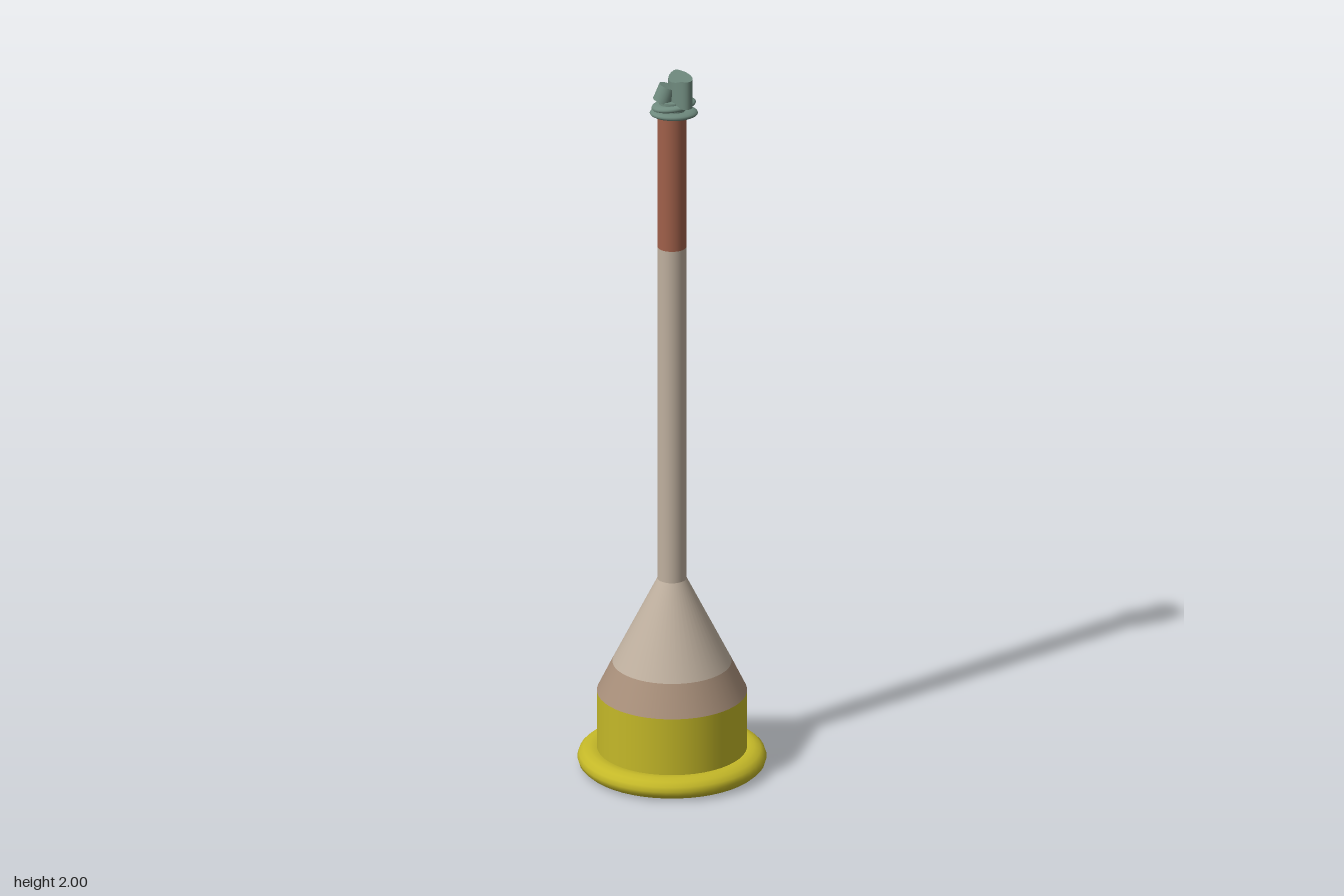
import * as THREE from 'three';

const SIDES = 48;
const paint = (color) => new THREE.MeshStandardMaterial({ color });
const YELLOW = paint(0xc4b828);
const TAN = paint(0xa88f7a);
const BEIGE = paint(0xbfb09f);
const RUST = paint(0xa0604a);
const TEAL = paint(0x6f8a7e);

function add(group, name, geometry, material) {
  const mesh = new THREE.Mesh(geometry, material);
  mesh.name = name;
  group.add(mesh);
  return mesh;
}

// Round section between two heights
function section(group, name, y0, y1, r0, r1, material, open = true) {
  const geometry = new THREE.CylinderGeometry(r1, r0, y1 - y0, SIDES, 1, open);
  geometry.translate(0, (y0 + y1) / 2, 0);
  return add(group, name, geometry, material);
}

// Oval ring lying flat, with separate outer x, outer z and tube sizes
function ovalRing(rx, rz, tube, halfHeight) {
  const geometry = new THREE.TorusGeometry(1 - tube / rx, tube / rx, 14, SIDES);
  geometry.rotateX(Math.PI / 2);
  geometry.scale(rx, halfHeight * rx / tube, rz);
  return geometry;
}

export function createModel() {
  const model = new THREE.Group();
  model.name = 'funnelStaff';

  // Base: rolled rim around a closed drum
  add(model, 'baseRim', ovalRing(0.252, 0.252, 0.041, 0.03), YELLOW).position.y = 0.03;
  section(model, 'baseDrum', 0.03, 0.22, 0.2, 0.2, YELLOW, false);

  // Two-tone cone and long shaft
  section(model, 'coneBand', 0.22, 0.305, 0.2, 0.159, TAN);
  section(model, 'cone', 0.305, 0.545, 0.159, 0.039, BEIGE);
  section(model, 'shaft', 0.545, 1.505, 0.039, 0.039, BEIGE);
  section(model, 'grip', 1.505, 1.89, 0.039, 0.039, RUST, false);

  // Tip: core wrapped by two tilted oval coils
  const tip = new THREE.Group();
  tip.name = 'tip';
  model.add(tip);
  section(tip, 'tipCore', 1.885, 1.93, 0.036, 0.034, TEAL, false);
  const lower = add(tip, 'lowerCoil', ovalRing(0.066, 0.049, 0.022, 0.009), TEAL);
  lower.position.set(0.004, 1.894, 0.005);
  lower.rotation.set(0, 0.12, -0.06);
  const upper = add(tip, 'upperCoil', ovalRing(0.06, 0.044, 0.02, 0.009), TEAL);
  upper.position.set(0.004, 1.916, 0.003);
  upper.rotation.set(0, -0.15, 0.15);

  // Upright oval blade, its top sloping down toward the right side
  const blade = new THREE.CylinderGeometry(1, 1, 0.08, 32);
  blade.scale(0.026, 1, 0.048).rotateY(0.3).translate(0.021, 1.96, 0.009);
  const p = blade.attributes.position;
  for (let i = 0; i < p.count; i++) {
    if (p.getY(i) > 1.96) p.setY(i, 2 - Math.max(0, 0.015 - p.getX(i)) * 0.7);
  }
  add(tip, 'blade', blade, TEAL);

  // Short leaning stub beside the blade
  const stub = add(tip, 'stub', new THREE.CylinderGeometry(0.024, 0.026, 0.045, 24), TEAL);
  stub.position.set(-0.018, 1.947, -0.004);
  stub.rotation.z = -0.35;

  return model;
}
